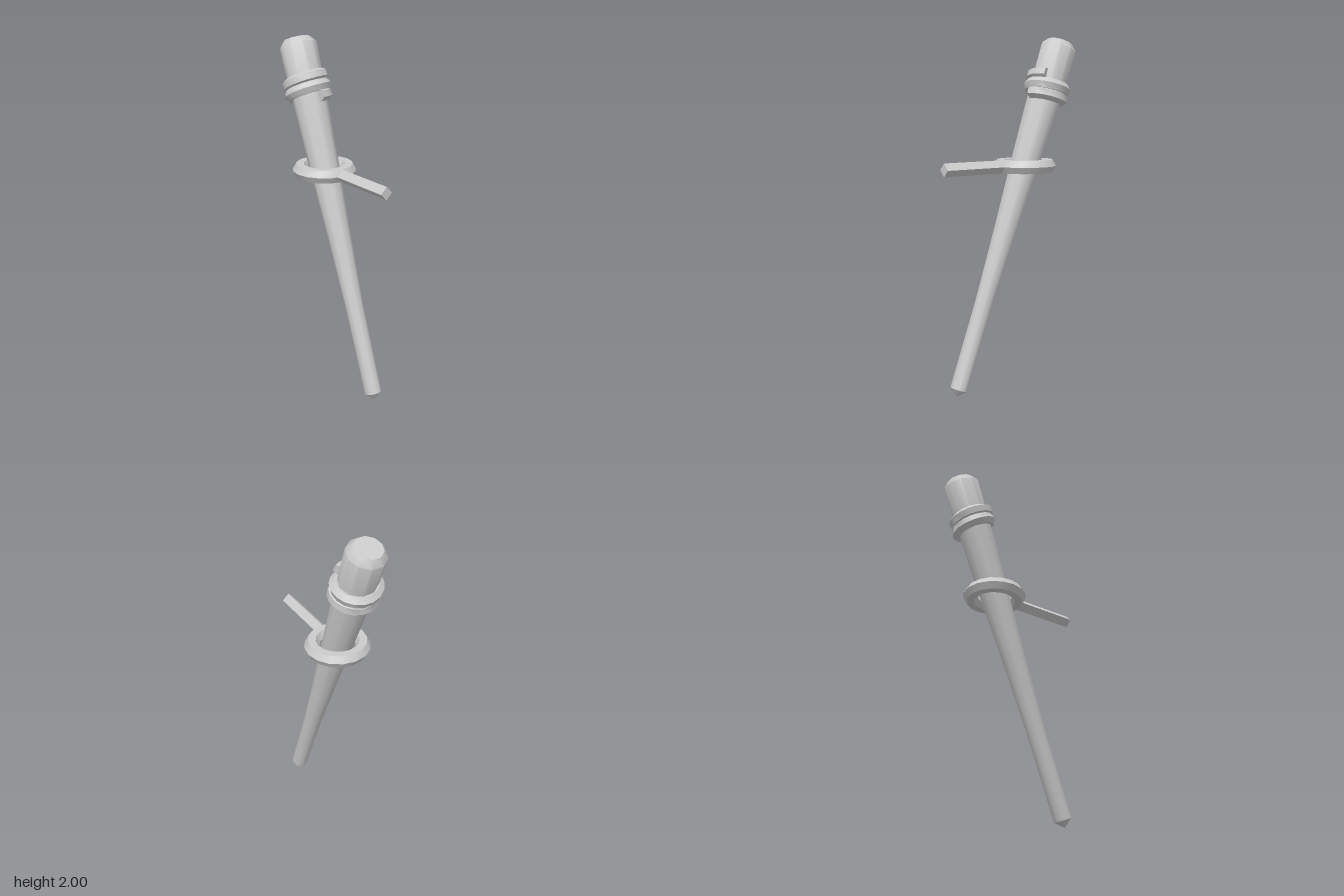
import * as THREE from 'three';
import { toCreasedNormals } from 'three/addons/utils/BufferGeometryUtils.js';

const CREASE = 0.7;

export function createModel() {
  const model = new THREE.Group();
  const material = new THREE.MeshStandardMaterial({ color: 0xcccccc });

  const add = (parent, name, geometry) => {
    const mesh = new THREE.Mesh(toCreasedNormals(geometry, CREASE), material);
    mesh.name = name;
    parent.add(mesh);
    return mesh;
  };

  // Leaning stick, built upright from its tip and then tilted
  const stick = new THREE.Group();
  stick.name = 'stick';
  stick.position.set(0.385, 0, 0);
  stick.rotation.z = THREE.MathUtils.degToRad(20.8);
  model.add(stick);

  // Ten-sided tapering shaft: [radius, height along the shaft]
  const profile = [
    [0, 0], [0.05, 0.042], [0.053, 0.55], [0.067, 0.96], [0.085, 1.36],
    [0.1, 1.76], [0.106, 2.073], [0.076, 2.11], [0, 2.11],
  ].map(([r, y]) => new THREE.Vector2(r, y));
  add(stick, 'shaft', new THREE.LatheGeometry(profile, 10));

  // Cord wound a little over two turns around the head
  const sweep = Math.PI * 4 + 0.65;
  const coilPoints = [];
  for (let i = 0; i <= 36; i++) {
    const t = i / 36, a = t * sweep;
    coilPoints.push(new THREE.Vector3(0.102 * Math.cos(a), 1.765 + 0.12 * t, -0.102 * Math.sin(a)));
  }
  const coil = new THREE.CatmullRomCurve3(coilPoints);
  add(stick, 'cordWrap', new THREE.TubeGeometry(coil, 36, 0.036, 6));

  // Flat ends of the cord
  for (const [t, sign] of [[0, -1], [1, 1]]) {
    const end = add(stick, 'cordEnd', new THREE.CircleGeometry(0.036, 6));
    const normal = coil.getTangent(t).multiplyScalar(sign);
    end.position.copy(coil.getPoint(t));
    end.quaternion.setFromUnitVectors(new THREE.Vector3(0, 0, 1), normal);
  }

  // Level holder: hexagon-section ring with a square arm
  const holder = new THREE.Group();
  holder.name = 'holder';
  holder.position.set(-0.1, 1.27, 0);
  model.add(holder);

  add(holder, 'holderRing', new THREE.TorusGeometry(0.14, 0.042, 6, 16).rotateX(Math.PI / 2));

  const arm = add(holder, 'holderArm', new THREE.CylinderGeometry(0.037, 0.037, 0.41, 4).rotateZ(Math.PI / 2));
  arm.position.x = 0.345;

  return model;
}
